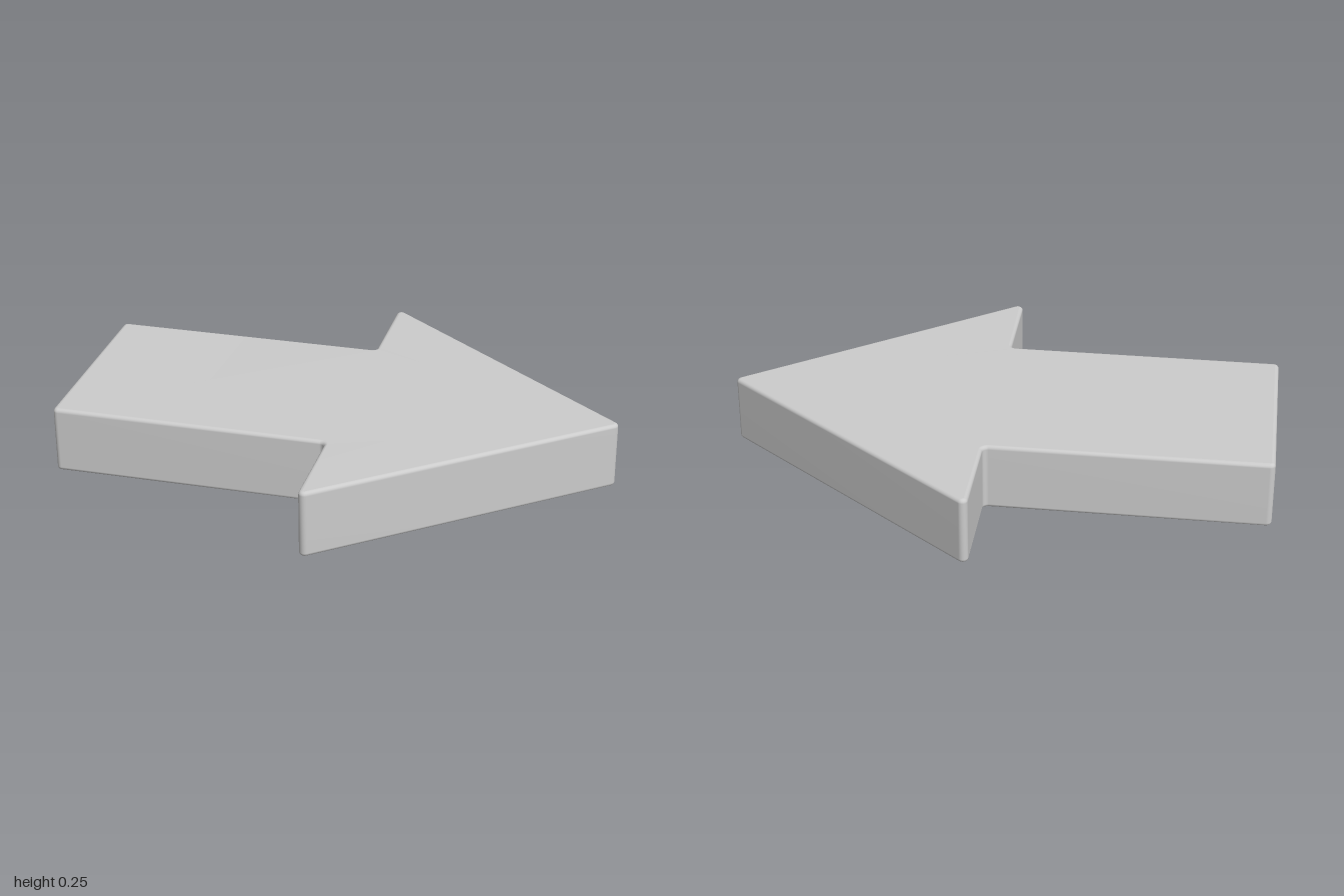
import * as THREE from 'three';
import { mergeVertices } from 'three/addons/utils/BufferGeometryUtils.js';

const HEIGHT = 0.25, BEVEL = 0.014, RADIUS = 0.02, STEPS = 6;

// Polygon with every corner, convex or concave, replaced by a small arc
function roundedOutline(corners, r) {
  const points = [];
  corners.forEach((p, i) => {
    const n = corners.length;
    const u = corners[(i + n - 1) % n].clone().sub(p).normalize();
    const v = corners[(i + 1) % n].clone().sub(p).normalize();
    const half = Math.acos(u.dot(v)) / 2;
    const centre = u.clone().add(v).normalize().multiplyScalar(r / Math.sin(half)).add(p);
    const reach = r / Math.tan(half);
    const from = u.multiplyScalar(reach).add(p).sub(centre);
    const to = v.multiplyScalar(reach).add(p).sub(centre);
    const sweep = Math.atan2(from.cross(to), from.dot(to));
    for (let k = 0; k <= STEPS; k++) {
      points.push(from.clone().rotateAround(new THREE.Vector2(), sweep * k / STEPS).add(centre));
    }
  });
  return new THREE.Shape(points);
}

export function createModel() {
  const group = new THREE.Group();
  group.name = 'arrow';

  // Half outline from tail to barb, mirrored around the tip
  const half = [[-1, -0.388], [0.02, -0.388], [0.02, -0.782]];
  const mirrored = half.map(([x, y]) => [x, -y]).reverse();
  const corners = [...half, [1.012, 0], ...mirrored].map(([x, y]) => new THREE.Vector2(x, y));

  // Slab with softly rounded rims
  const slab = new THREE.ExtrudeGeometry(roundedOutline(corners, RADIUS), {
    depth: HEIGHT - 2 * BEVEL,
    bevelEnabled: true,
    bevelThickness: BEVEL,
    bevelSize: BEVEL,
    bevelOffset: -BEVEL,
    bevelSegments: 4,
  });
  slab.rotateX(-Math.PI / 2).translate(0, BEVEL, 0);

  // Shared vertices give smooth rims while the large faces stay flat
  slab.deleteAttribute('normal');
  slab.deleteAttribute('uv');
  const geometry = mergeVertices(slab, 1e-5);
  geometry.computeVertexNormals();

  const body = new THREE.Mesh(geometry, new THREE.MeshStandardMaterial({ color: 0xcccccc }));
  body.name = 'arrowBody';
  group.add(body);
  return group;
}
